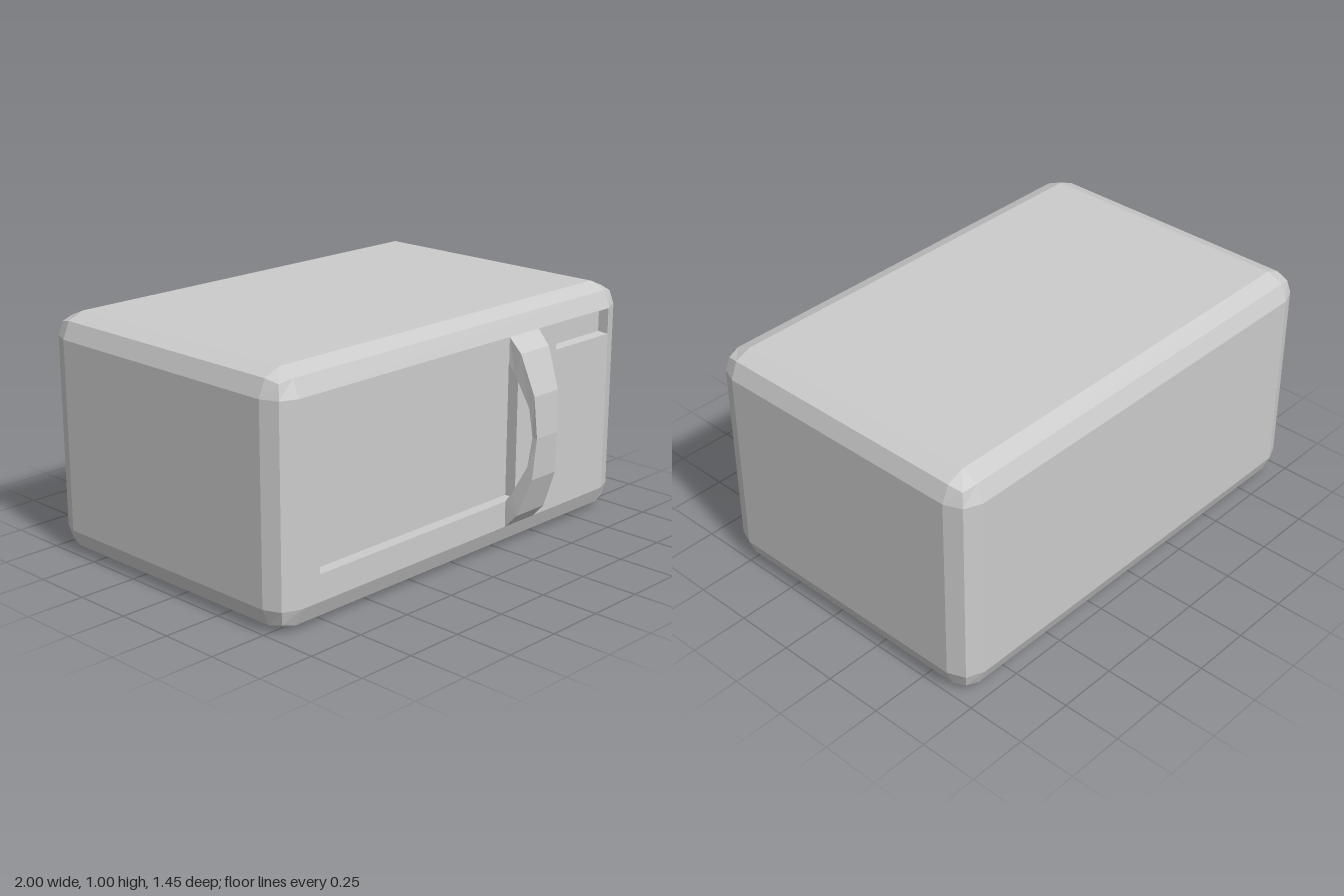
import * as THREE from 'three';
import { RoundedBoxGeometry } from 'three/addons/geometries/RoundedBoxGeometry.js';

const BACK = -0.727, FRONT = 0.597, BEVEL = 0.1;
const WINDOW = { x0: -0.805, x1: 0.31, y0: 0.21, y1: 0.79, depth: 0.05, taper: 0 };
const DISPLAY = { x0: 0.55, x1: 0.897, y0: 0.788, y1: 0.898, depth: 0.045, taper: 0.005 };

const material = new THREE.MeshStandardMaterial({ color: 0xcccccc, flatShading: true });

function part(name, geometry) {
  const mesh = new THREE.Mesh(geometry, material);
  mesh.name = name;
  return mesh;
}

function fromQuads(quads) {
  const pos = [];
  for (const [a, b, c, d] of quads) pos.push(...a, ...b, ...c, ...a, ...c, ...d);
  const g = new THREE.BufferGeometry();
  g.setAttribute('position', new THREE.Float32BufferAttribute(pos, 3));
  g.computeVertexNormals();
  return g;
}

// Counter-clockwise corners of a rectangle at depth z, shrunk by inset
function corners({ x0, x1, y0, y1 }, z, inset = 0) {
  return [
    [x0 + inset, y0 + inset, z], [x1 - inset, y0 + inset, z],
    [x1 - inset, y1 - inset, z], [x0 + inset, y1 - inset, z],
  ];
}

// Bevelled casing, with its flat front face left out
function casingGeometry() {
  const depth = FRONT - BACK;
  const box = new RoundedBoxGeometry(2, 1, depth, 1, BEVEL);
  box.translate(0, 0.5, (FRONT + BACK) / 2);
  const src = box.toNonIndexed === undefined || !box.index ? box : box.toNonIndexed();
  const p = src.attributes.position;
  const pos = [];
  for (let i = 0; i < p.count; i += 3) {
    const onFront = [0, 1, 2].every((k) => p.getZ(i + k) > FRONT - 1e-4);
    if (onFront) continue;
    for (let k = 0; k < 3; k++) pos.push(p.getX(i + k), p.getY(i + k), p.getZ(i + k));
  }
  const g = new THREE.BufferGeometry();
  g.setAttribute('position', new THREE.Float32BufferAttribute(pos, 3));
  g.computeVertexNormals();
  return g;
}

// Flat front face with openings for the window and display
function frontGeometry() {
  const face = { x0: -1 + BEVEL, x1: 1 - BEVEL, y0: BEVEL, y1: 1 - BEVEL };
  const points = (r) => corners(r, 0).map(([x, y]) => new THREE.Vector2(x, y));
  const shape = new THREE.Shape(points(face));
  for (const r of [WINDOW, DISPLAY]) shape.holes.push(new THREE.Path(points(r).reverse()));
  return new THREE.ShapeGeometry(shape).translate(0, 0, FRONT);
}

// Four inward-facing walls and a floor
function recessGeometry(r) {
  const rim = corners(r, FRONT);
  const floor = corners(r, FRONT - r.depth, r.taper);
  const quads = [floor];
  for (let i = 0; i < 4; i++) {
    const j = (i + 1) % 4;
    quads.push([rim[i], rim[j], floor[j], floor[i]]);
  }
  return fromQuads(quads);
}

// Bowed handle, waisted in the middle
function handleGeometry() {
  const cx = 0.342;
  // half width, outer y and z, inner y and z, measured from mid height upwards
  const upper = [
    [0.064, 0, 0.727, 0, 0.704],
    [0.074, 0.174, 0.716, 0.122, 0.691],
    [0.087, 0.34, 0.653, 0.25, 0.626],
    [0.091, 0.4, FRONT, 0.287, FRONT],
  ];
  const lower = upper.slice(1).reverse().map(([w, a, b, c, d]) => [w, -a, b, -c, d]);
  const rings = [...lower, ...upper].map(([w, oy, oz, iy, iz]) => [
    [cx - w, 0.5 + oy, oz], [cx + w, 0.5 + oy, oz],
    [cx + w, 0.5 + iy, iz], [cx - w, 0.5 + iy, iz],
  ]);
  const quads = [];
  for (let s = 0; s < rings.length - 1; s++) {
    for (let i = 0; i < 4; i++) {
      const j = (i + 1) % 4;
      quads.push([rings[s][i], rings[s][j], rings[s + 1][j], rings[s + 1][i]]);
    }
  }
  return fromQuads(quads);
}

export function createModel() {
  const model = new THREE.Group();
  model.name = 'microwaveOven';
  model.add(
    part('casing', casingGeometry()),
    part('frontFace', frontGeometry()),
    part('doorWindow', recessGeometry(WINDOW)),
    part('displayPanel', recessGeometry(DISPLAY)),
    part('doorHandle', handleGeometry()),
  );
  return model;
}
